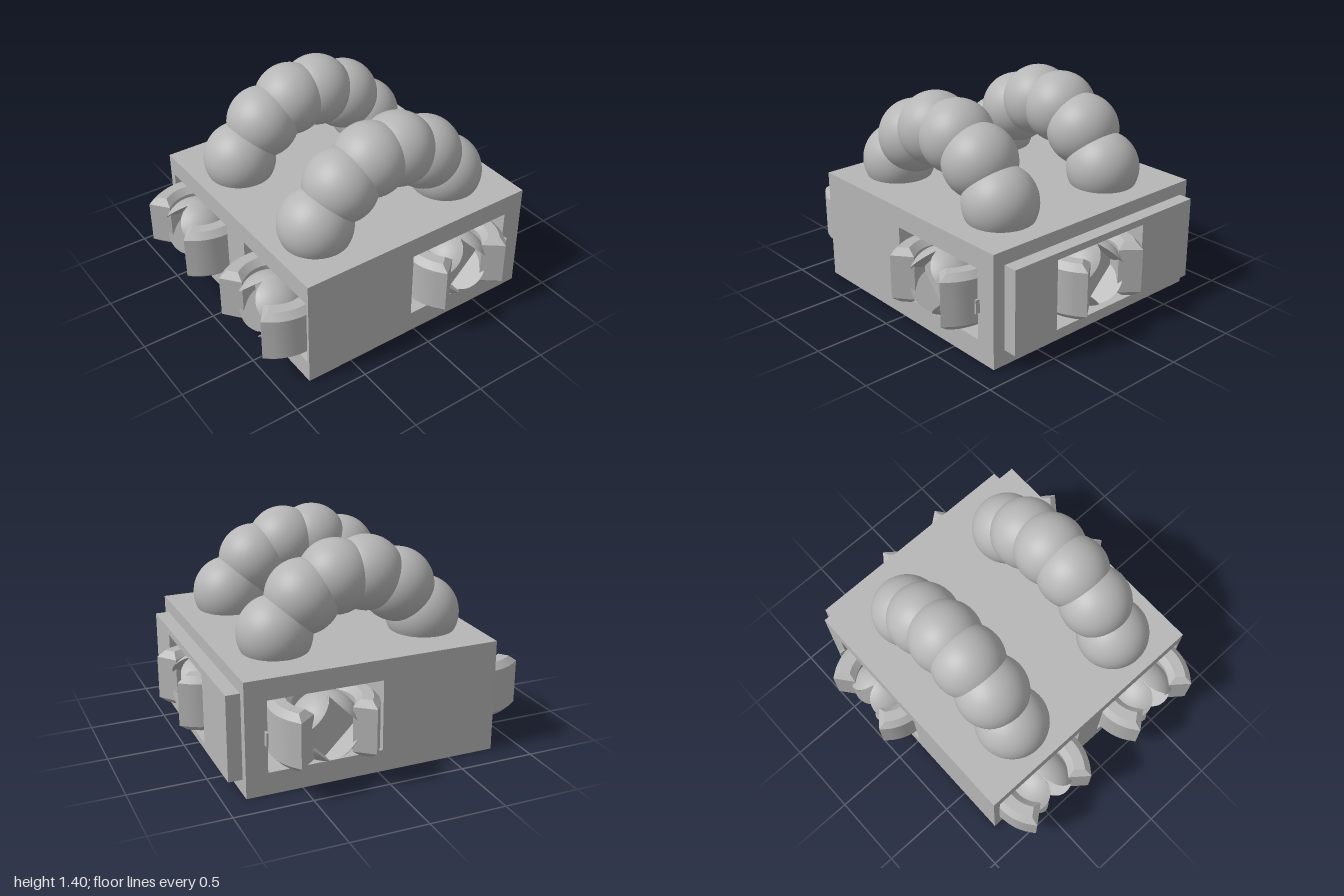
import * as THREE from 'three';
import { toCreasedNormals } from 'three/addons/utils/BufferGeometryUtils.js';

const grey = new THREE.MeshStandardMaterial({ color: 0xb6b6b6, side: THREE.DoubleSide });
grey.name = 'grey';

const X0 = -0.83, X1 = 0.85, Z0 = -0.86, Z1 = 0.81, TOP = 0.745;
const WIN_Y0 = 0.145, WIN_Y1 = 0.61, MID_Y = 0.377, POCKET = 0.42;

function add(parent, name, geometry, x = 0, y = 0, z = 0, turn = 0) {
  const mesh = new THREE.Mesh(geometry, grey);
  mesh.name = name;
  mesh.position.set(x, y, z);
  mesh.rotation.y = turn;
  parent.add(mesh);
  return mesh;
}

function rect(Type, x0, y0, x1, y1) {
  return new Type([[x0, y0], [x1, y0], [x1, y1], [x0, y1]].map(p => new THREE.Vector2(...p)));
}

// Rectangle with rectangular openings; each opening is [centre, half width]
function panel(x0, y0, x1, y1, windows) {
  const s = rect(THREE.Shape, x0, y0, x1, y1);
  for (const [c, h] of windows) s.holes.push(rect(THREE.Path, c - h, WIN_Y0, c + h, WIN_Y1));
  return s;
}

// Box lining without its front side, opening toward +z
function pocketGeometry(width) {
  const g = new THREE.BoxGeometry(width, WIN_Y1 - WIN_Y0, POCKET);
  const index = Array.from(g.index.array).filter((_, i) => i < 24 || i >= 30);
  g.clearGroups();
  g.setIndex(index.reverse());
  g.translate(0, (WIN_Y0 + WIN_Y1) / 2, -POCKET / 2);
  g.scale(1, 1, 1);
  const n = g.attributes.normal;
  for (let i = 0; i < n.count; i++) n.setXYZ(i, -n.getX(i), -n.getY(i), -n.getZ(i));
  return g;
}

// Ball with a square socket, turned on its corner, cut into the +z side
function socketBallGeometry(R, d) {
  const A = 64, B = 16, rows = B + 3, pos = [], index = [];
  for (let i = 0; i <= A; i++) {
    const t = (i / A) * Math.PI * 2;
    const off = (t % (Math.PI / 2)) - Math.PI / 4;
    const edge = d / Math.cos(off);
    const rim = Math.asin(Math.min(1, edge / R));
    for (let j = 0; j < rows; j++) {
      let r = edge, z = 0;
      if (j <= B) {
        const p = Math.PI + (rim - Math.PI) * (j / B);
        r = R * Math.sin(p);
        z = R * Math.cos(p);
      } else if (j === B + 2) r = 0;
      pos.push(r * Math.cos(t), r * Math.sin(t), z);
    }
  }
  for (let i = 0; i < A; i++) for (let j = 0; j < rows - 1; j++) {
    const a = i * rows + j, b = a + rows;
    index.push(a, b, b + 1, a, b + 1, a + 1);
  }
  const g = new THREE.BufferGeometry();
  g.setAttribute('position', new THREE.Float32BufferAttribute(pos, 3));
  g.setIndex(index);
  return toCreasedNormals(g, 0.5);
}

// Bevelled C-shaped collar, open toward +z
function collarGeometry() {
  const bevel = 0.04, ro = 0.34 - bevel, ri = 0.19 + bevel, height = 0.37;
  const a0 = THREE.MathUtils.degToRad(141), a1 = THREE.MathUtils.degToRad(399);
  const s = new THREE.Shape();
  s.absarc(0, 0, ro, a0, a1, false);
  s.absarc(0, 0, ri, a1, a0, true);
  const depth = height - 2 * bevel;
  const g = new THREE.ExtrudeGeometry(s, {
    depth, bevelEnabled: true, bevelSegments: 1, bevelSize: bevel, bevelThickness: bevel, curveSegments: 24,
  });
  g.translate(0, 0, -depth / 2);
  g.rotateX(Math.PI / 2);
  return toCreasedNormals(g, 0.5);
}

export function createModel() {
  const model = new THREE.Group();
  model.name = 'model';

  // Hollow box: four walls with window openings
  const body = new THREE.Group();
  body.name = 'body';
  model.add(body);
  const H = Math.PI / 2;
  const frontX = [-0.43, 0.48], sideZ = -0.345, backX = 0.06;
  const walls = [
    ['frontWall', X0, X1, frontX.map(x => [x, 0.35]), 0, Z1, 0],
    ['backWall', -X1, -X0, [[-backX, 0.37]], 0, Z0, Math.PI],
    ['leftWall', -Z1, -Z0, [[-sideZ, 0.375]], X1, 0, H],
    ['rightWall', Z0, Z1, [[sideZ, 0.375]], X0, 0, -H],
  ];
  for (const [name, a, b, windows, x, z, turn] of walls) {
    const wall = add(body, name, new THREE.ShapeGeometry(panel(a, 0, b, TOP, windows)), x, 0, z, turn);
    for (const [c, h] of windows) add(wall, 'windowPocket', pocketGeometry(2 * h), c, 0, 0);
  }

  // Lid, recessed floor and the rim below it
  const lid = new THREE.PlaneGeometry(X1 - X0, Z1 - Z0).rotateX(-H);
  add(body, 'lid', lid, (X0 + X1) / 2, TOP, (Z0 + Z1) / 2);
  const floor = new THREE.PlaneGeometry(X1 - X0, Z1 - Z0).rotateX(H);
  add(body, 'floor', floor, (X0 + X1) / 2, 0.05, (Z0 + Z1) / 2);
  const rim = rect(THREE.Shape, X0, Z0, X1, Z1);
  rim.holes.push(rect(THREE.Path, X0 + 0.045, Z0 + 0.045, X1 - 0.045, Z1 - 0.045));
  const rimGeometry = new THREE.ExtrudeGeometry(rim, { depth: 0.05, bevelEnabled: false });
  add(body, 'bottomRim', rimGeometry.rotateX(H), 0, 0.05, 0);

  // Raised plate framing the back window
  const plate = panel(-0.765, 0.1, 0.77, 0.655, [[-backX, 0.37]]);
  const plateGeometry = new THREE.ExtrudeGeometry(plate, { depth: 0.09, bevelEnabled: false });
  add(body, 'backPlate', plateGeometry, 0, 0, Z0, Math.PI);

  // Small axle ends at the rear of each side
  for (const x of [-0.84, 0.855]) {
    add(body, 'axleEnd', new THREE.BoxGeometry(0.05, 0.09, 0.012), x, 0.375, -0.733);
  }

  // Collared balls sitting in the windows
  const ball = socketBallGeometry(0.215, 0.147);
  const collar = collarGeometry();
  const joints = [
    ['frontRightJoint', -0.445, 0.815, 0],
    ['frontLeftJoint', 0.485, 0.815, 0],
    ['leftJoint', 0.775, sideZ, H],
    ['rightJoint', -0.78, sideZ, -H],
    ['backJoint', backX, -0.825, Math.PI],
  ];
  for (const [name, x, z, turn] of joints) {
    const joint = new THREE.Group();
    joint.name = name;
    joint.position.set(x, MID_Y, z);
    joint.rotation.y = turn;
    add(joint, 'socketBall', ball, 0, 0, 0.025);
    add(joint, 'collar', collar);
    model.add(joint);
  }

  // Two arches of overlapping balls on the lid
  const bead = new THREE.SphereGeometry(0.238, 48, 32);
  for (const [name, x] of [['rightArch', -0.4], ['leftArch', 0.484]]) {
    const arch = new THREE.Group();
    arch.name = name;
    for (const [y, z] of [[0.848, 0.506], [1.057, 0.32], [1.159, 0.105]]) {
      for (const side of [1, -1]) add(arch, 'archBall', bead, x, y, side * z);
    }
    model.add(arch);
  }
  return model;
}
